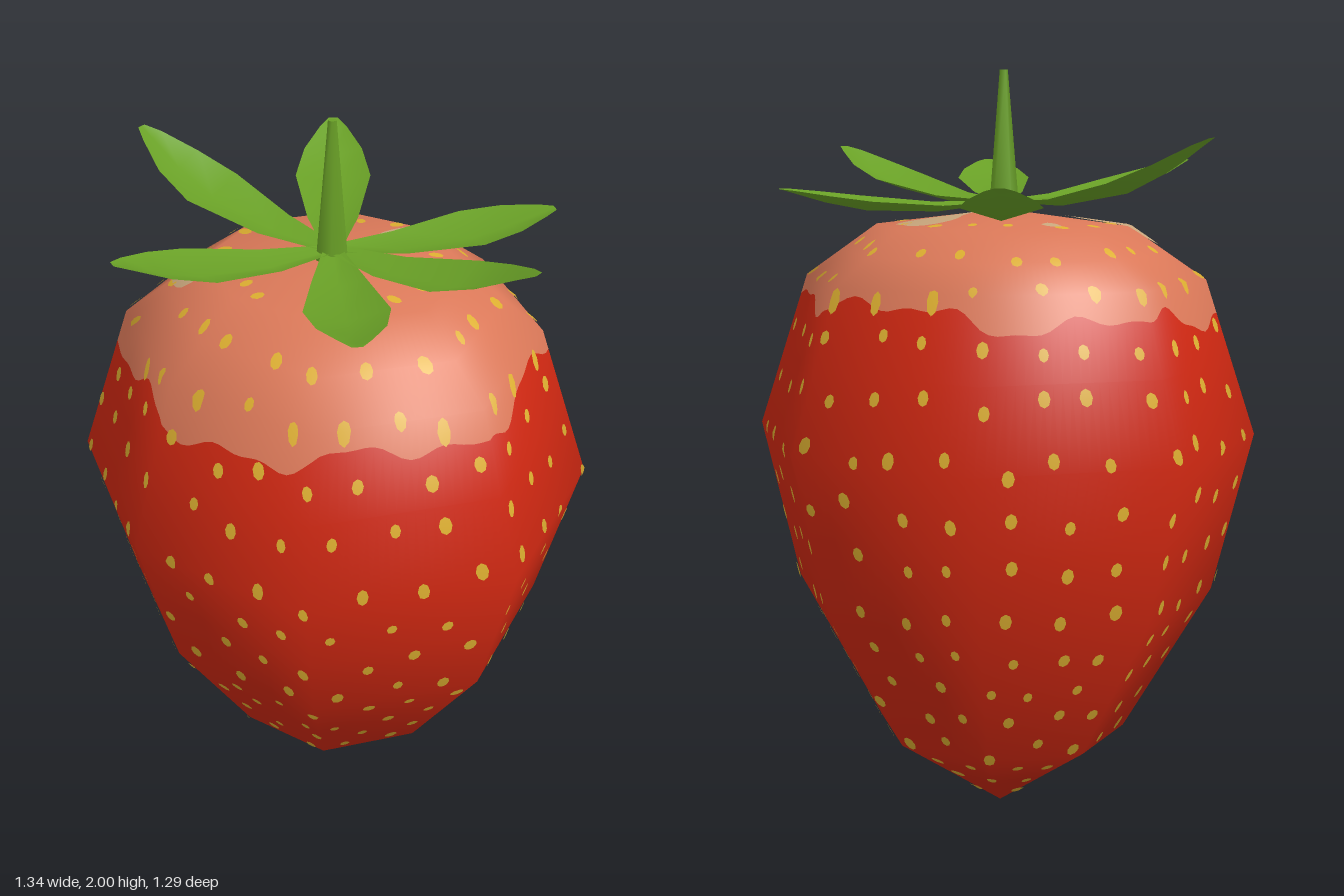
import * as THREE from 'three';
import { mergeGeometries } from 'three/addons/utils/BufferGeometryUtils.js';

const mat = (name, color, extra = {}) =>
  Object.assign(new THREE.MeshStandardMaterial({ color, ...extra }), { name });

// Body rings from tip to crown: x radius, front z, back z, front y, back y
const RINGS = [
  [0, -0.09, -0.09, 0.005, 0.005],
  [0.34, 0.27, -0.39, 0.21, 0.26],
  [0.57, 0.51, -0.55, 0.6, 0.66],
  [0.67, 0.64, -0.63, 1.03, 1.09],
  [0.53, 0.5, -0.49, 1.45, 1.49],
  [0.33, 0.25, -0.32, 1.6, 1.62],
  [0, -0.02, -0.02, 1.65, 1.65],
];
const SIDES = 8, TOP = RINGS.length - 1, STEP = Math.PI / 4;

// Coarse eight-sided cage with smooth normals
function makeCage() {
  const pos = [], index = [];
  RINGS.forEach(([rx, zf, zb, yf, yb]) => {
    for (let i = 0; i < SIDES; i++) {
      const k = i === 1 ? 1.04 : i === 7 ? 0.95 : 1;
      const c = Math.cos(i * STEP), f = (1 + c) / 2;
      pos.push(rx * k * Math.sin(i * STEP), yb + (yf - yb) * f, (zf + zb) / 2 + ((zf - zb) / 2) * c * k);
    }
  });
  for (let r = 0; r < TOP; r++) for (let i = 0; i < SIDES; i++) {
    const j = (i + 1) % SIDES, a = r * SIDES + i, b = r * SIDES + j;
    if (r > 0) index.push(a, b, b + SIDES);
    if (r < TOP - 1 || r === 0) index.push(a, b + SIDES, a + SIDES);
    if (r === TOP - 1) index.push(a, b, b + SIDES);
  }
  const g = new THREE.BufferGeometry();
  g.setAttribute('position', new THREE.Float32BufferAttribute(pos, 3));
  g.setIndex(index);
  g.computeVertexNormals();
  for (let i = 0; i < SIDES; i++) {
    g.attributes.normal.setXYZ(i, 0, -1, 0);
    g.attributes.normal.setXYZ(TOP * SIDES + i, 0, 1, 0);
  }
  return g;
}
const cage = makeCage();

// Point and normal on the cage: u runs round (0 = front, 2 = left), v runs up the rings
function surface(u, v) {
  u = ((u % SIDES) + SIDES) % SIDES;
  v = Math.min(Math.max(v, 0), TOP);
  const i = Math.floor(u), r = Math.min(Math.floor(v), TOP - 1), fu = u - i, fv = v - r;
  const sample = (name) => {
    const at = (row, col) => new THREE.Vector3().fromBufferAttribute(cage.attributes[name], row * SIDES + (col % SIDES));
    return at(r, i).lerp(at(r, i + 1), fu).lerp(at(r + 1, i).lerp(at(r + 1, i + 1), fu), fv);
  };
  return { p: sample('position'), n: sample('normal').normalize() };
}

function build(points, index) {
  const g = new THREE.BufferGeometry();
  g.setAttribute('position', new THREE.Float32BufferAttribute(points.flatMap((s) => s.p.toArray()), 3));
  g.setAttribute('normal', new THREE.Float32BufferAttribute(points.flatMap((s) => s.n.toArray()), 3));
  g.setIndex(index);
  return g;
}

// Wavy line between ripe and pale skin
const ripeLine = (u) => {
  const a = u * STEP;
  return 3.83 - 0.06 * Math.cos(a - 5.2) + 0.05 * Math.sin(5 * a + 0.6) + 0.04 * Math.sin(11 * a) + 0.02 * Math.sin(23 * a + 1);
};

// Band of skin, from low(u) to high(u), creased only at the rings
function skin(low, high) {
  const cols = 160, pts = [], index = [], rows = TOP * 2 + 1;
  for (let c = 0; c <= cols; c++) {
    const u = (c / cols) * SIDES;
    for (let r = 0; r < rows; r++) pts.push(surface(u, Math.min(Math.max(r / 2, low(u)), high(u))));
  }
  for (let c = 0; c < cols; c++) for (let r = 0; r < rows - 1; r++) {
    const a = c * rows + r, b = a + rows;
    index.push(a, b, b + 1, a, b + 1, a + 1);
  }
  return build(pts, index);
}

// Thin oval patch hugging the skin
function decal(u, v, ru, rv, n = 8, loops = 1, wobble = 0) {
  const lift = ({ p, n: nn }) => ({ p: p.addScaledVector(nn, 0.005), n: nn });
  const pts = [lift(surface(u, v))], index = [];
  for (let l = 1; l <= loops; l++) for (let k = 0; k < n; k++) {
    const a = (k / n) * Math.PI * 2;
    const s = (l / loops) * (1 + wobble * Math.sin(3 * a + u) + wobble * 0.6 * Math.sin(5 * a));
    pts.push(lift(surface(u + ru * s * Math.cos(a), v + rv * s * Math.sin(a))));
  }
  for (let l = 0; l < loops; l++) for (let k = 0; k < n; k++) {
    const a = 1 + l * n + k, b = 1 + l * n + ((k + 1) % n);
    if (l === 0) index.push(0, a, b);
    else index.push(a - n, a, b, a - n, b, b - n);
  }
  return build(pts, index);
}

// Staggered rows of seeds, evenly spaced over the skin
function seeds() {
  const out = [];
  let seed = 7;
  const rand = () => (seed = (seed * 16807) % 2147483647) / 2147483647 - 0.5;
  for (let v = 0.25, row = 0; v < 5.45; row++) {
    const [rx] = RINGS[Math.floor(v)], [rx2] = RINGS[Math.floor(v) + 1];
    const radius = rx + (rx2 - rx) * (v % 1);
    const base = Math.floor(v);
    const len = surface(2, base).p.distanceTo(surface(2, base + 0.999).p);
    const count = Math.max(5, Math.round((radius * 6.2) / (0.09 + 0.08 * radius)));
    for (let k = 0; k < count; k++) {
      const u = ((k + (row % 2) / 2 + rand() * 0.35) / count) * SIDES;
      const size = 1 + rand() * 0.3;
      out.push(decal(u, v + (rand() * 0.05) / len, (0.015 * size) / (radius * STEP), (0.02 * size) / len));
    }
    v += (v < 2 ? 0.115 : 0.14) / len;
  }
  return mergeGeometries(out);
}

// Leaf with a folded midrib, from the crown centre to its tip
function leaf(x, y, z, sag) {
  const root = 1.665, len = Math.hypot(x, z), dx = x / len, dz = z / len;
  // along, half width, share of rise, edge lift
  const rows = [[0.02, 0.025, 0, 0.005], [0.3, 0.065, 0, 0.02], [0.62, 0.1, 0.22, 0.03],
    [0.8, 0.078, 0.52, 0.022], [0.94, 0.036, 0.86, 0.008], [1, 0.012, 1, 0]];
  const pos = [], index = [];
  rows.forEach(([t, w, rise, lift]) => {
    const cy = root + (y - root) * rise - sag * Math.sin(Math.PI * t);
    for (const s of [-1, 0, 1]) pos.push(dx * len * t - dz * w * s, cy + (s ? lift : 0), dz * len * t + dx * w * s);
  });
  for (let r = 0; r < rows.length - 1; r++) for (let s = 0; s < 2; s++) {
    const a = r * 3 + s, b = a + 3;
    index.push(a, a + 1, b + 1, a, b + 1, b);
  }
  const g = new THREE.BufferGeometry();
  g.setAttribute('position', new THREE.Float32BufferAttribute(pos, 3));
  // upper face looks up
  for (let k = 0; k < index.length; k += 3) [index[k + 1], index[k + 2]] = [index[k + 2], index[k + 1]];
  g.setIndex(index);
  g.computeVertexNormals();
  return g;
}

export function createModel() {
  const red = mat('ripe red', 0xcd2711);
  const pale = mat('pale pink', 0xda7858);
  const cream = mat('unripe cream', 0xc8a67c);
  const gold = mat('seed gold', 0xdcae30);
  const green = mat('leaf green', 0x69a026, { side: THREE.DoubleSide });

  const model = new THREE.Group();
  model.name = 'strawberry';
  const add = (name, geometry, material, parent = model) => {
    const mesh = new THREE.Mesh(geometry, material);
    mesh.name = name;
    parent.add(mesh);
    return mesh;
  };

  // Fruit
  add('ripeSkin', skin(() => 0, ripeLine), red);
  add('paleShoulder', skin(ripeLine, () => TOP), pale);
  add('seeds', seeds(), gold);
  const patches = [[6.1, 5.08, 0.24, 0.48], [2.87, 5.35, 0.38, 0.33], [1.75, 5.15, 0.2, 0.2], [4.75, 5.2, 0.1, 0.08]];
  add('creamPatches', mergeGeometries(patches.map(([u, v, ru, rv]) => decal(u, v, ru, rv, 24, 6, 0.1))), cream);

  // Leafy crown
  const crown = new THREE.Group();
  crown.name = 'crown';
  model.add(crown);
  [[-0.06, 1.75, -0.645, 0.03], [0.545, 1.71, -0.2, 0.025], [0.49, 1.79, 0.325, 0.01],
    [0.11, 1.74, 0.595, 0.01], [-0.475, 1.76, 0.31, 0.01], [-0.525, 1.845, -0.3, 0]]
    .forEach((tip) => add('leaf', leaf(...tip), green, crown));

  // Stem
  const stem = add('stem', new THREE.CylinderGeometry(0.011, 0.042, 0.36, 5), green, crown);
  stem.position.y = 1.82;
  return model;
}
